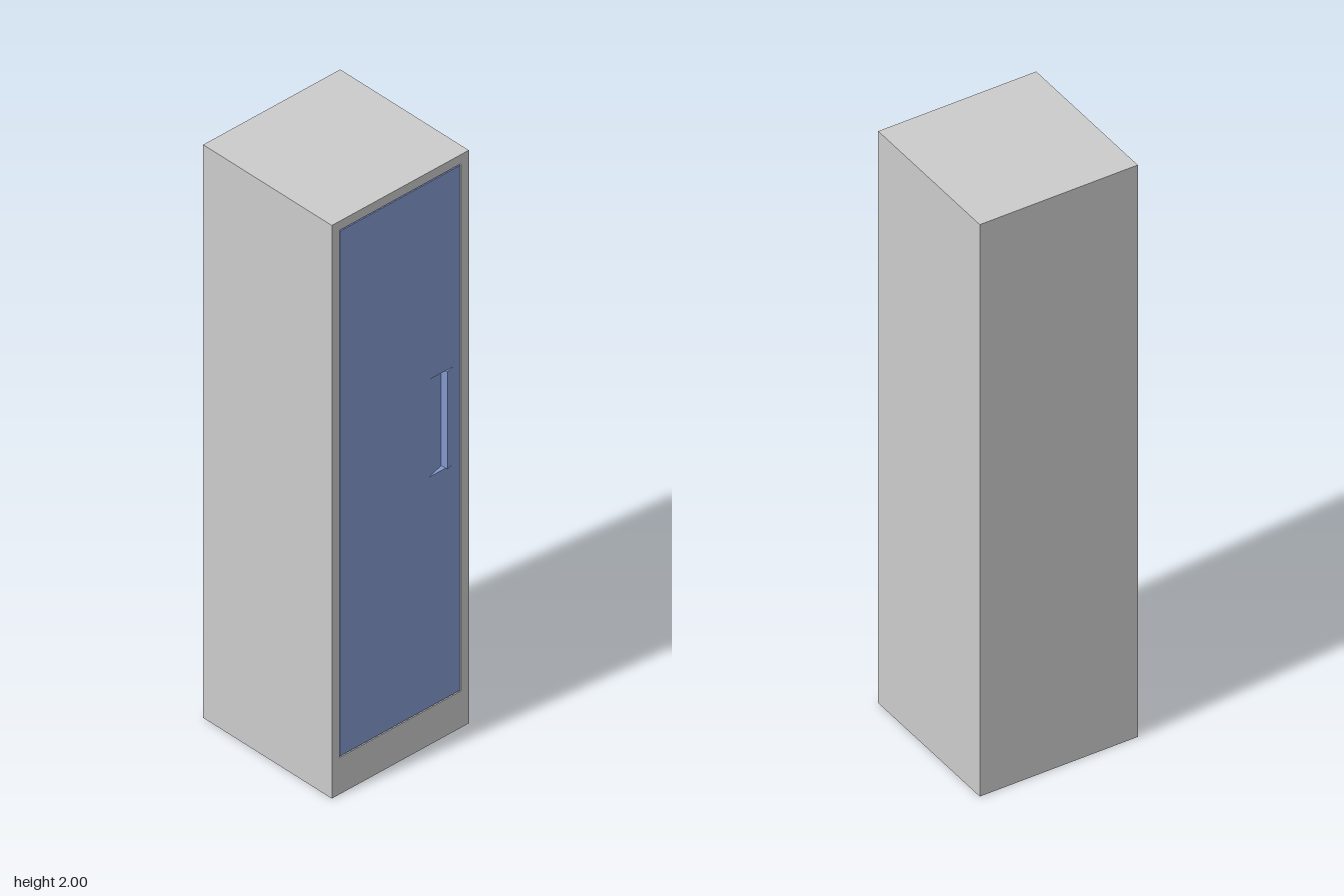
import * as THREE from 'three';

const FACE = 0.261;      // plane of the door side (+x)
const DEPTH = 0.03;      // thickness of the frame and door
const grey = new THREE.MeshStandardMaterial({ color: 0xcccccc, flatShading: true });
const blue = new THREE.MeshStandardMaterial({ color: 0x8399ce, flatShading: true });

function mesh(name, geometry, material) {
  const m = new THREE.Mesh(geometry, material);
  m.name = name;
  return m;
}

// Rectangle corners in the door plane, where u = -z and v = y
function rect(u0, u1, v0, v1) {
  return [[u0, v0], [u1, v0], [u1, v1], [u0, v1]].map(([u, v]) => new THREE.Vector2(u, v));
}

// Slab facing +x with a rectangular opening
function slab(outer, opening) {
  const shape = new THREE.Shape(outer);
  shape.holes.push(new THREE.Path(opening));
  return new THREE.ExtrudeGeometry(shape, { depth: DEPTH, bevelEnabled: false })
    .rotateY(Math.PI / 2).translate(FACE - DEPTH, 0, 0);
}

// Upright prism from a plan of [x, -z] corners
function prism(plan, y0, y1) {
  const shape = new THREE.Shape(plan.map(([x, u]) => new THREE.Vector2(x, u)));
  return new THREE.ExtrudeGeometry(shape, { depth: y1 - y0, bevelEnabled: false })
    .rotateX(-Math.PI / 2).translate(0, y0, 0);
}

export function createModel() {
  const model = new THREE.Group();
  model.name = 'cabinet';

  // Carcass behind the door
  const back = -0.271, inner = FACE - DEPTH;
  const body = new THREE.BoxGeometry(inner - back, 2, 0.53);
  body.translate((inner + back) / 2, 1, 0);
  model.add(mesh('cabinetBody', body, grey));

  // Frame around the door
  model.add(mesh('doorFrame', slab(rect(-0.265, 0.265, 0, 2), rect(-0.236, 0.234, 0.128, 1.968)), grey));

  // Flush door with a narrow gap and a finger pocket
  const y0 = 0.935, y1 = 1.275;
  const door = new THREE.Group();
  door.name = 'door';
  door.add(mesh('doorPanel', slab(rect(-0.233, 0.231, 0.132, 1.964), rect(0.11, 0.175, y0, y1)), blue));

  // Sloping pocket floor, deepest beside the lip
  door.add(mesh('handlePocket', prism([[inner, 0.11], [FACE, 0.11], [0.243, 0.175], [inner, 0.175]], y0, y1), blue));

  // Raised wedge to pull on
  door.add(mesh('handleLip', prism([[FACE - 0.002, 0.175], [0.2685, 0.176], [FACE, 0.204], [FACE - 0.002, 0.204]], y0, y1), blue));
  model.add(door);

  return model;
}
